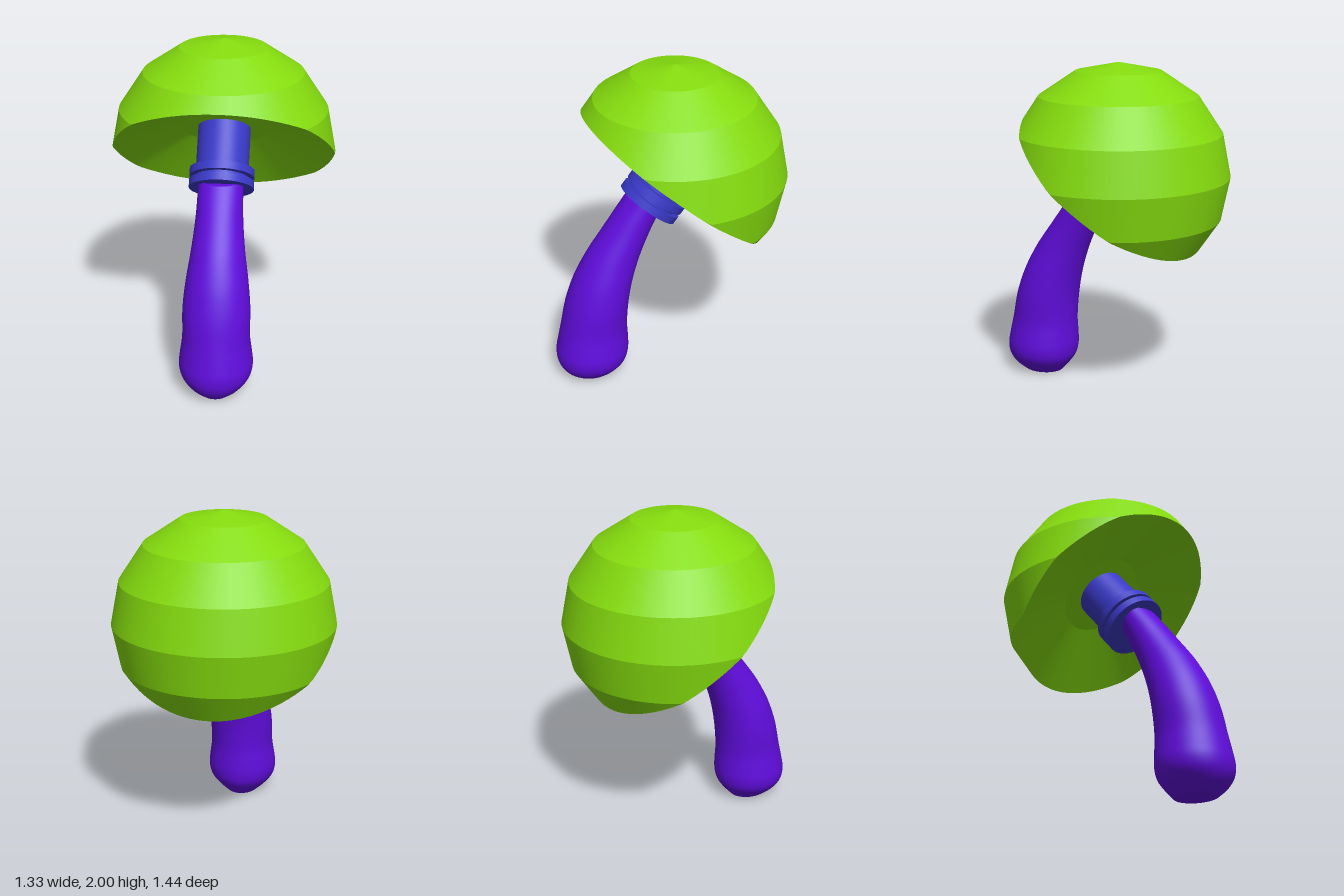
import * as THREE from 'three';

const SEG = 96;
const TILT = 0.68; // lean of the neck and of the cap's open side
const mat = (name, color) => Object.assign(new THREE.MeshStandardMaterial({ color }), { name });

// Surface through closed rings, bottom to top; the side faces outward
function loft(rings) {
  const n = rings[0].length, pos = [], idx = [], tri = new THREE.Triangle();
  const all = rings.flat();
  all.forEach(p => pos.push(p.x, p.y, p.z));
  const add = (a, b, c) => {
    tri.set(all[a], all[b], all[c]);
    if (tri.getArea() > 1e-9) idx.push(a, b, c);
  };
  for (let r = 0; r < rings.length - 1; r++) {
    for (let i = 0; i < n; i++) {
      const j = (i + 1) % n, a = r * n, b = a + n;
      add(a + i, b + i, a + j);
      add(b + i, b + j, a + j);
    }
  }
  const g = new THREE.BufferGeometry();
  g.setAttribute('position', new THREE.Float32BufferAttribute(pos, 3));
  g.setIndex(idx);
  g.computeVertexNormals();
  return g;
}

const ring = fn => Array.from({ length: SEG }, (_, i) => fn(i / SEG * Math.PI * 2));
const point = p => ring(() => p.clone());

function makeCap(material) {
  const group = new THREE.Group();
  group.name = 'cap';
  const add = (name, rings) => {
    const m = new THREE.Mesh(loft(rings), material);
    m.name = name;
    group.add(m);
  };
  const R = 0.665, cy = 1.335, cz = -0.055;
  const at = (k, a) => {
    const t = k * Math.PI / 8, r = R * Math.sin(t);
    return new THREE.Vector3(r * Math.cos(a), cy + R * Math.cos(t), cz + r * Math.sin(a));
  };
  // Height above the slanted cut
  const above = p => p.y - 1.72 - (p.z - 0.475) * 0.809;
  const rimAt = a => {
    for (let k = 0; k < 8; k++) {
      const p = at(k, a), q = at(k + 1, a), f = above(p), g = above(q);
      if (g <= 0) return { k, p: p.lerp(q, f / (f - g)) };
    }
  };
  const clipped = k => ring(a => {
    const rim = rimAt(a);
    return k <= rim.k ? at(k, a) : rim.p;
  });
  // Dome of sharp bands, cut off by the slanted opening
  for (let k = 0; k < 6; k++) add('capBand' + (k + 1), [clipped(k + 1), clipped(k)]);

  // Shallow conical hollow with a flat middle
  const centre = new THREE.Vector3(0, 1.307, -0.035);
  const inward = new THREE.Vector3(0, Math.cos(TILT), -Math.sin(TILT)).multiplyScalar(0.15);
  const rim = ring(a => rimAt(a).p);
  const inner = rim.map(p => p.clone().sub(centre).multiplyScalar(0.4).add(centre).add(inward));
  add('capHollow', [inner, rim]);
  add('capHollowMiddle', [point(centre.clone().add(inward)), inner]);
  return group;
}

function makeNeck(material) {
  const group = new THREE.Group();
  group.name = 'neck';
  group.position.set(0, 1.315, -0.03);
  group.rotation.x = -TILT;
  const add = (name, r, from, to) => {
    const m = new THREE.Mesh(new THREE.CylinderGeometry(r, r, to - from, 64), material);
    m.position.y = (from + to) / 2;
    m.name = name;
    group.add(m);
  };
  add('neckTube', 0.157, -0.225, 0.165);
  add('lowerCollar', 0.193, -0.234, -0.187);
  add('upperCollar', 0.193, -0.164, -0.117);
  return group;
}

function makeStem(material) {
  // Height, half width, front z, back z
  const rows = [
    [0, 0.105, 0.63, 0.37], [0.05, 0.16, 0.685, 0.325], [0.11, 0.205, 0.717, 0.284],
    [0.175, 0.22, 0.723, 0.27], [0.25, 0.213, 0.71, 0.27], [0.35, 0.2, 0.688, 0.273],
    [0.52, 0.199, 0.65, 0.26], [0.68, 0.183, 0.593, 0.228], [0.84, 0.158, 0.507, 0.175],
    [1, 0.14, 0.393, 0.105], [1.1, 0.135, 0.32, 0.055], [1.2, 0.133, 0.243, 0],
  ];
  const widths = new THREE.CatmullRomCurve3(rows.map(r => new THREE.Vector3(r[1], r[0], 0)));
  const sides = new THREE.CatmullRomCurve3(rows.map(r => new THREE.Vector3(r[2], r[0], r[3])));
  const N = 55, rings = [];
  for (let i = 0; i <= N; i++) {
    const w = widths.getPoint(i / N), s = sides.getPoint(i / N);
    rings.push(ring(a => new THREE.Vector3(
      w.x * Math.cos(a), w.y, (s.x + s.z) / 2 + (s.x - s.z) / 2 * Math.sin(a))));
  }
  const group = new THREE.Group();
  group.name = 'stem';
  const parts = {
    stemSide: rings,
    stemBase: [point(new THREE.Vector3(0, 0, 0.5)), rings[0]],
    stemTop: [rings[N], point(new THREE.Vector3(0, 1.2, 0.12))],
  };
  for (const [name, list] of Object.entries(parts)) {
    const m = new THREE.Mesh(loft(list), material);
    m.name = name;
    group.add(m);
  }
  return group;
}

export function createModel() {
  const model = new THREE.Group();
  model.name = 'mushroom';
  model.add(
    makeCap(mat('lime green', 0x85dc0e)),
    makeNeck(mat('blue', 0x3a39c8)),
    makeStem(mat('purple', 0x600ddc)),
  );
  return model;
}
